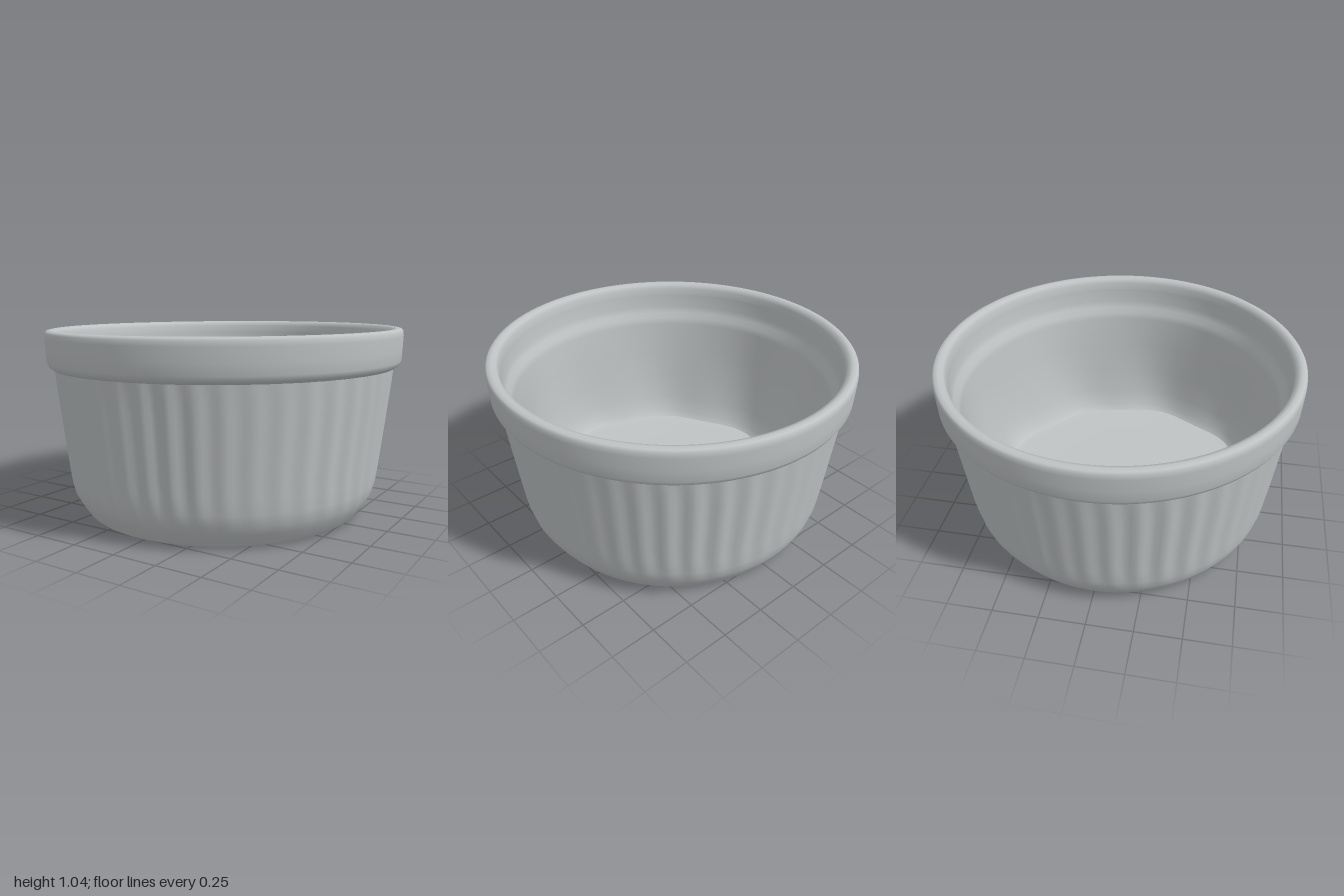
import * as THREE from 'three';
import { mergeVertices } from 'three/addons/utils/BufferGeometryUtils.js';

const SEGMENTS = 240;
const FLUTES = 44;

// Revolve a profile of [radius, height] points, then reshape it with an optional rule.
function revolve(name, profile, material, rule) {
  let g = new THREE.LatheGeometry(profile.map(([r, y]) => new THREE.Vector2(r, y)), SEGMENTS);
  g.deleteAttribute('uv');
  g.deleteAttribute('normal');
  const p = g.attributes.position;
  const v = new THREE.Vector3();
  for (let i = 0; i < p.count; i++) {
    v.fromBufferAttribute(p, i);
    if (rule) rule(v);
    v.y += 0.007 * v.x; // slight hand-made lean
    p.setXYZ(i, v.x, v.y, v.z);
  }
  g = mergeVertices(g, 1e-5);
  g.computeVertexNormals();
  const mesh = new THREE.Mesh(g, material);
  mesh.name = name;
  return mesh;
}

// Shallow uneven flutes that fade out under the rim and above the foot.
function flute(v) {
  const a = Math.atan2(v.x, v.z);
  const fade = THREE.MathUtils.smoothstep(v.y, 0.1, 0.3) * (1 - 0.5 * THREE.MathUtils.smoothstep(v.y, 0.72, 0.84));
  const depth = 0.007 + 0.003 * Math.sin(5 * a + 1);
  const k = 1 + fade * depth * Math.cos(FLUTES * a + 0.6 * Math.sin(3 * a));
  v.x *= k;
  v.z *= k;
}

// The inner floor sits a little off centre, with an uneven edge.
function unevenFloor(v) {
  const low = 1 - THREE.MathUtils.smoothstep(v.y, 0.12, 0.7);
  const a = Math.atan2(v.x, v.z);
  const k = 1 + low * 0.018 * Math.cos(9 * a);
  v.x = v.x * k + 0.025 * low;
  v.z = v.z * k + 0.02 * low;
}

export function createModel() {
  const group = new THREE.Group();
  group.name = 'ramekin';
  const glaze = new THREE.MeshStandardMaterial({ color: 0xbfc3c4 });
  glaze.name = 'grey glaze';

  // Flat underside
  group.add(revolve('base', [[0, 0.016], [0.4, 0.016], [0.77, 0.014]], glaze));

  // Outer wall with its bevelled foot
  const wall = [[0.77, 0.014], [0.79, 0.03], [0.83, 0.09], [0.858, 0.14], [0.872, 0.2]];
  for (let i = 1; i <= 8; i++) wall.push([0.872 + 0.075 * i / 8, 0.2 + 0.64 * i / 8]);
  group.add(revolve('flutedWall', wall, glaze, flute));

  // Thick rounded rim band
  group.add(revolve('rim', [
    [0.93, 0.825], [0.955, 0.83], [0.975, 0.845], [0.988, 0.87], [0.991, 0.93], [0.994, 1.0],
    [0.992, 1.025], [0.982, 1.037], [0.96, 1.041], [0.937, 1.033], [0.925, 1.01], [0.921, 0.97],
  ], glaze));

  // Bowl interior with a small ledge below the rim
  group.add(revolve('innerWall', [
    [0.921, 0.97], [0.916, 0.89], [0.905, 0.85], [0.885, 0.82], [0.876, 0.78],
    [0.86, 0.6], [0.835, 0.4], [0.805, 0.25], [0.775, 0.16], [0.745, 0.125],
  ], glaze, unevenFloor));
  group.add(revolve('innerFloor', [[0.745, 0.125], [0.7, 0.12], [0.4, 0.12], [0, 0.12]], glaze, unevenFloor));

  return group;
}
